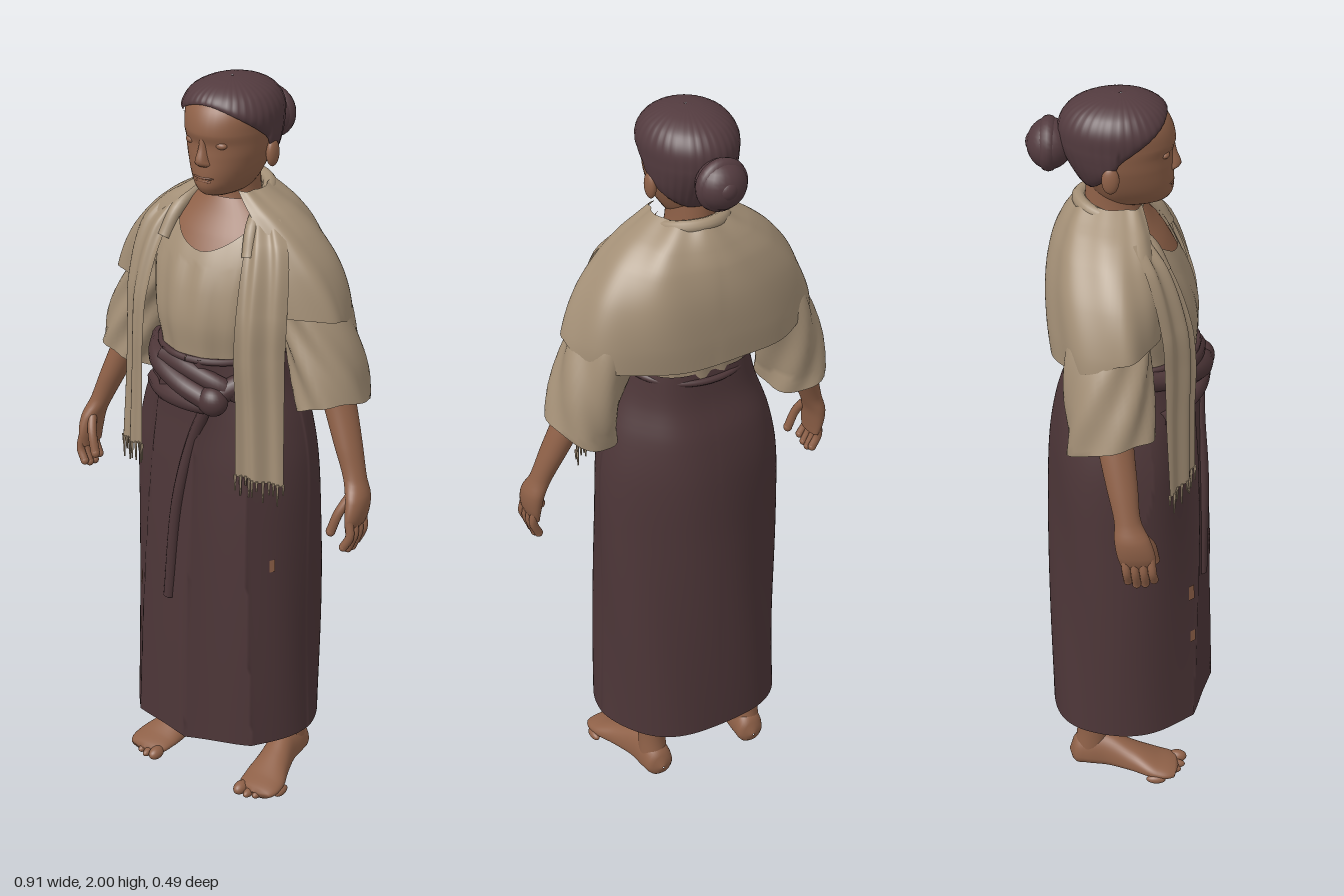
import * as THREE from 'three';
import { ParametricGeometry } from 'three/addons/geometries/ParametricGeometry.js';

const V = (x, y, z) => new THREE.Vector3(x, y, z);

// Smooth lookup in rows sorted by their first column.
function sample(rows, y) {
  const n = rows.length - 1;
  let i = 0;
  while (i < n - 1 && y > rows[i + 1][0]) i++;
  const a = rows[i], b = rows[i + 1], h = b[0] - a[0];
  const s = Math.min(1, Math.max(0, (y - a[0]) / h));
  const before = rows[Math.max(0, i - 1)], after = rows[Math.min(n, i + 2)];
  return a.map((p, k) => {
    const m0 = (b[k] - before[k]) / (b[0] - before[0]), m1 = (after[k] - p) / (after[0] - a[0]);
    const s2 = s * s, s3 = s2 * s;
    return (2 * s3 - 3 * s2 + 1) * p + (s3 - 2 * s2 + s) * h * m0 + (3 * s2 - 2 * s3) * b[k] + (s3 - s2) * h * m1;
  });
}

// Skin over rings; rows are [y, cx, cz, rx, front depth, back depth].
function loft(rows, o = {}) {
  const { from = 0, to = Math.PI * 2, low = rows[0][0], high = rows.at(-1)[0], p = 1, off = 0, fold, ease, nu = 40, nv = 32 } = o;
  const at = (e, t) => (typeof e === 'function' ? e(t) : e);
  const pw = (c) => Math.sign(c) * Math.abs(c) ** p;
  return new ParametricGeometry((u, v, out) => {
    const t = from + (to - from) * u, lo = at(low, t), hi = at(high, t);
    const y = lo + (hi - lo) * (ease ? Math.sin(v * Math.PI / 2) : v);
    const [, cx, cz, rx, zf, zb] = sample(rows, y);
    const c = Math.cos(t), s = Math.sin(t);
    const d = off + (fold ? fold(t, y, cx + rx * s) : 0);
    out.set(cx + (rx + d) * pw(s), y, cz + ((c > 0 ? zf : zb) + d) * pw(c));
  }, nu, nv);
}

const tube = (pts, r, n = 24) => new THREE.TubeGeometry(new THREE.CatmullRomCurve3(pts.map((q) => V(...q))), n, r, 10);
const ball = (x, y, z, rx, ry, rz) => new THREE.SphereGeometry(1, 24, 16).scale(rx, ry, rz).translate(x, y, z);

function mirrored(geo) {
  const g = geo.clone().scale(-1, 1, 1), ix = g.index.array;
  for (let i = 0; i < ix.length; i += 3) [ix[i], ix[i + 1]] = [ix[i + 1], ix[i]];
  return g;
}

function material(name, color, side = THREE.FrontSide) {
  const m = new THREE.MeshStandardMaterial({ color, side });
  m.name = name;
  return m;
}

export function createModel() {
  const model = new THREE.Group();
  model.name = 'standingWoman';
  const skin = material('skin', 0x8f6148);
  const lip = material('lips', 0x82553f);
  const hair = material('hair', 0x533b3f);
  const cloth = material('blouseCloth', 0xa38f76, THREE.DoubleSide);
  const wrap = material('skirtCloth', 0x4d3638, THREE.DoubleSide);

  const add = (name, geo, mat) => {
    const m = new THREE.Mesh(geo, mat);
    m.name = name;
    model.add(m);
  };
  const pair = (name, geo, mat) => {
    add(name + 'Left', geo, mat);
    add(name + 'Right', mirrored(geo), mat);
  };

  // Head and face
  const skull = [
    [1.708, 0, 0.02, 0.004, 0.004, 0.004], [1.714, 0, 0, 0.04, 0.085, 0.04], [1.735, 0, -0.01, 0.062, 0.126, 0.06],
    [1.77, 0, -0.01, 0.083, 0.132, 0.085], [1.82, 0, -0.01, 0.1, 0.13, 0.115], [1.855, 0, -0.01, 0.106, 0.129, 0.132],
    [1.885, 0, -0.01, 0.109, 0.136, 0.14], [1.93, 0, -0.01, 0.109, 0.124, 0.138], [1.965, 0, -0.01, 0.091, 0.098, 0.115],
    [1.985, 0, -0.01, 0.062, 0.068, 0.08], [1.996, 0, -0.01, 0.026, 0.03, 0.035], [2, 0, -0.01, -0.0118, -0.0118, -0.0118],
  ];
  add('head', loft(skull, { high: 1.975, nv: 44 }), skin);
  add('nose', loft([
    [1.795, 0, 0.108, 0.005, 0.004, 0.01], [1.803, 0, 0.108, 0.023, 0.022, 0.02], [1.815, 0, 0.108, 0.02, 0.032, 0.02],
    [1.85, 0, 0.108, 0.012, 0.02, 0.02], [1.89, 0, 0.108, 0.01, 0.012, 0.02],
  ], { nu: 20, nv: 16 }), skin);
  add('upperLip', ball(0, 1.77, 0.113, 0.03, 0.005, 0.01), lip);
  add('lowerLip', ball(0, 1.761, 0.112, 0.026, 0.006, 0.01), lip);
  pair('eyelid', ball(0.043, 1.857, 0.1, 0.018, 0.01, 0.012), skin);
  pair('ear', ball(0.11, 1.815, -0.03, 0.014, 0.036, 0.022), skin);

  // Hair with its hairline, and the coiled bun
  const hairline = (t) => {
    const c = Math.cos(t);
    return c > 0 ? 1.855 + 0.097 * c ** 0.85 : 1.855 - 0.1 * (-c) ** 0.6;
  };
  const hairFold = (t, y) => 0.0006 * Math.sin(36 * t) - 0.01 * Math.exp((hairline(t) - y) / 0.01);
  add('hair', loft(skull, { low: hairline, off: 0.014, ease: true, fold: hairFold, nu: 120, nv: 44 }), hair);
  add('bun', ball(0, 1.86, -0.185, 0.066, 0.064, 0.058), hair);
  add('bunCoil', new THREE.TorusGeometry(0.048, 0.022, 12, 32).translate(0, 1.86, -0.188), hair);
  add('bunCentre', ball(0.004, 1.862, -0.228, 0.026, 0.026, 0.018), hair);

  // Neck, chest and blouse body
  const torso = [
    [1.25, 0, 0, 0.165, 0.18, 0.14], [1.32, 0, 0, 0.17, 0.186, 0.145], [1.4, 0, 0, 0.19, 0.19, 0.16],
    [1.48, 0, 0, 0.2, 0.175, 0.172], [1.55, 0, 0, 0.205, 0.148, 0.172], [1.61, 0, 0, 0.185, 0.115, 0.16],
    [1.66, 0, 0, 0.135, 0.08, 0.13], [1.7, 0, 0, 0.082, 0.055, 0.11],
  ];
  add('chest', loft(torso, { low: 1.5, off: -0.007 }), skin);
  add('neck', loft([[1.6, 0, -0.02, 0.085, 0.09, 0.08], [1.66, 0, -0.025, 0.068, 0.075, 0.075],
    [1.71, 0, -0.03, 0.06, 0.07, 0.07], [1.78, 0, -0.03, 0.06, 0.07, 0.065]]), skin);
  add('blouse', loft(torso, {
    high: (t) => 1.65 - 0.07 * Math.max(0, Math.cos(t)) ** 6 + 0.03 * Math.max(0, -Math.cos(t)),
    fold: (t, y) => 0.003 * Math.sin(14 * t + 8 * y) * (y < 1.55 ? 1 : 0.3), nu: 80,
  }), cloth);
  pair('sleeve', loft([
    [1.19, 0.315, -0.01, 0.09, 0.105, 0.12], [1.3, 0.288, -0.015, 0.09, 0.1, 0.12], [1.42, 0.243, -0.02, 0.088, 0.095, 0.12],
    [1.52, 0.19, -0.02, 0.085, 0.09, 0.115], [1.6, 0.14, -0.02, 0.08, 0.08, 0.11], [1.65, 0.1, -0.02, 0.06, 0.05, 0.08],
  ], { low: (t) => 1.18 + 0.03 * Math.sin(t) + 0.025 * Math.cos(t), fold: (t, y) => 0.005 * Math.sin(6 * t + 30 * y) }), cloth);

  // Shawl: cape over the shoulders, rolled collar, hanging ends with fringe
  add('shawlCape', loft([
    [1.34, 0, 0, 0.352, 0.12, 0.19], [1.44, 0, 0, 0.338, 0.12, 0.198], [1.54, 0, 0, 0.296, 0.12, 0.196],
    [1.62, 0, 0, 0.235, 0.105, 0.18], [1.67, 0, 0, 0.178, 0.09, 0.158], [1.7, 0, 0, 0.13, 0.075, 0.14], [1.725, 0, 0, 0.09, 0.06, 0.12],
  ], {
    from: 0.68, to: Math.PI * 2 - 0.68, p: 0.88, nu: 90,
    low: (t) => 1.425 - 0.07 * Math.max(0, -Math.cos(t)) ** 0.8 + 0.02 * Math.max(0, Math.cos(t)),
    fold: (t, y) => 0.004 * Math.sin(9 * t + 14 * y),
  }), cloth);
  add('shawlCollar', tube([[0.13, 1.58, 0.105], [0.115, 1.65, 0.065], [0.098, 1.69, -0.01], [0.06, 1.712, -0.09], [0, 1.718, -0.115],
    [-0.06, 1.712, -0.09], [-0.098, 1.69, -0.01], [-0.115, 1.65, 0.065], [-0.13, 1.58, 0.105]], 0.018, 60), cloth);
  // Rows: y, inner x, inner z, outer x, outer z
  const end = [
    [0.98, 0.15, 0.185, 0.258, 0.125], [1.2, 0.147, 0.183, 0.25, 0.115], [1.33, 0.142, 0.185, 0.247, 0.112],
    [1.45, 0.138, 0.17, 0.247, 0.105], [1.6, 0.122, 0.112, 0.225, 0.07], [1.68, 0.098, 0.04, 0.165, 0.025],
  ];
  const endPoint = (u, y, out) => {
    const [, xi, zi, xo, zo] = sample(end, y), w = 0.006 * Math.sin(u * 13 + 2 * y);
    return out.set(xi + (xo - xi) * u, y, zi + (zo - zi) * u + w + 0.012 * Math.sin(u * Math.PI));
  };
  pair('shawlEnd', new ParametricGeometry((u, v, out) => endPoint(u, 1.01 - 0.025 * u + (0.66 + 0.025 * u) * v, out), 36, 40), cloth);
  for (let i = 0; i < 11; i++) {
    const top = 1.015 - 0.0025 * i, q = endPoint(i / 10, top, V()), len = 0.045 + 0.018 * Math.sin(i * 2.3);
    pair('fringe' + (i + 1), new THREE.CylinderGeometry(0.004, 0.002, len, 6).translate(q.x, top - len / 2, q.z), cloth);
  }

  // Wrapped skirt with pleats fanning from the knot
  const pleats = (t, y, x) => {
    const front = Math.max(0, Math.cos(t)) ** 0.7, q = (x - 0.07) / (0.9 + (1.2 - y) * 0.4);
    const crease = 1 - 2 * Math.abs(Math.sin(24 * q + 1)) ** 0.8;
    return 0.009 * front * crease + 0.005 * (1 - front) * Math.sin(5 * t + 6 * y);
  };
  const skirt = [
    [0.17, 0, 0, 0.262, 0.238, 0.206], [0.5, 0, 0, 0.259, 0.23, 0.204], [0.8, 0, 0, 0.253, 0.22, 0.203], [1.0, 0, 0, 0.246, 0.208, 0.2],
    [1.12, 0, 0, 0.225, 0.198, 0.184], [1.22, 0, 0, 0.192, 0.194, 0.156], [1.31, 0, 0, 0.172, 0.19, 0.146],
  ];
  add('skirt', loft(skirt, { low: (t) => 0.18 + 0.008 * Math.cos(t), p: 0.93, fold: pleats, nu: 200, nv: 50 }), wrap);
  // Small worn patches: start angle, end angle, bottom, top
  [[-0.67, -0.59, 0.585, 0.63], [-0.66, -0.59, 0.445, 0.48], [1.0, 1.07, 0.715, 0.75]].forEach(([from, to, low, high], i) => {
    add('wornPatch' + (i + 1), loft(skirt, { from, to, low, high, p: 0.93, fold: pleats, off: 0.003, nu: 6, nv: 4 }), skin);
  });
  const band = [];
  for (let i = 0; i <= 24; i++) {
    const t = i / 24 * Math.PI * 2;
    band.push([0.172 * Math.sin(t), 1.305 - 0.02 * Math.max(0, -Math.cos(t)), (Math.cos(t) > 0 ? 0.19 : 0.148) * Math.cos(t)]);
  }
  add('waistband', tube(band, 0.009, 72), wrap);
  add('upperSashRoll', tube([[-0.17, 1.28, 0.06], [-0.11, 1.265, 0.155], [-0.01, 1.235, 0.198], [0.09, 1.205, 0.2]], 0.03), wrap);
  add('lowerSashRoll', tube([[-0.17, 1.17, 0.095], [-0.08, 1.185, 0.175], [0.02, 1.19, 0.2], [0.09, 1.195, 0.195]], 0.024), wrap);
  add('sideSashRoll', tube([[0.18, 1.27, 0.05], [0.14, 1.255, 0.135], [0.08, 1.215, 0.195]], 0.028), wrap);
  add('foldedSash', tube([[-0.09, 1.285, 0.165], [0, 1.275, 0.185], [0.09, 1.25, 0.18], [0.15, 1.21, 0.135]], 0.024), wrap);
  add('knot', ball(0.085, 1.21, 0.198, 0.042, 0.04, 0.036), wrap);
  add('hangingFold', tube([[0.07, 1.2, 0.195], [0.02, 1.08, 0.196], [-0.02, 0.9, 0.21], [-0.05, 0.6, 0.212]], 0.016), wrap);

  // Arms and hands
  pair('forearm', loft([
    [0.885, 0.428, 0.052, 0.012, 0.04, 0.04], [0.92, 0.432, 0.048, 0.021, 0.05, 0.047], [0.97, 0.428, 0.038, 0.027, 0.046, 0.045],
    [1.015, 0.41, 0.026, 0.029, 0.034, 0.034], [1.1, 0.376, 0.01, 0.036, 0.04, 0.04],
    [1.2, 0.335, -0.008, 0.042, 0.046, 0.046], [1.32, 0.285, -0.02, 0.046, 0.05, 0.05],
  ]), skin);
  for (let i = 0; i < 4; i++) {
    const z = 0.02 + i * 0.022, tip = [0.84, 0.83, 0.833, 0.845][i];
    pair('finger' + (i + 1), tube([[0.432, 0.92, z], [0.438, 0.878, z + 0.004], [0.422, tip, z + 0.008]], 0.0115, 10), skin);
    pair('fingertip' + (i + 1), ball(0.422, tip, z + 0.008, 0.0115, 0.012, 0.0115), skin);
  }
  pair('thumb', tube([[0.42, 0.985, 0.055], [0.4, 0.935, 0.085], [0.383, 0.88, 0.095]], 0.0125, 12), skin);
  pair('thumbTip', ball(0.383, 0.88, 0.095, 0.0125, 0.014, 0.0125), skin);

  // Legs and bare feet (foot rows run from toes to heel, then are laid flat)
  pair('leg', loft([[0.05, 0.15, -0.09, 0.04, 0.045, 0.045], [0.12, 0.15, -0.085, 0.037, 0.045, 0.042],
    [0.25, 0.145, -0.08, 0.045, 0.05, 0.055], [0.55, 0.13, -0.04, 0.065, 0.07, 0.07]]), skin);
  pair('foot', loft([
    [-0.16, 0.188, 0.02, 0.002, 0.002, 0.002], [-0.155, 0.188, 0.02, 0.045, 0.013, 0.016], [-0.1, 0.185, 0.024, 0.062, 0.026, 0.023],
    [-0.03, 0.17, 0.03, 0.051, 0.048, 0.028], [0.04, 0.155, 0.035, 0.043, 0.07, 0.034], [0.1, 0.15, 0.037, 0.042, 0.07, 0.036],
    [0.135, 0.147, 0.036, 0.034, 0.045, 0.033], [0.149, 0.147, 0.036, 0.002, 0.002, 0.002],
  ]).rotateX(-Math.PI / 2), skin);
  for (let i = 0; i < 5; i++) {
    const r = i ? 0.0125 : 0.018;
    pair('toe' + (i + 1), ball(0.146 + i * 0.023 + (i ? 0.004 : 0), r, 0.155 - i * i * 0.0035, r, r, 0.027), skin);
  }
  return model;
}
